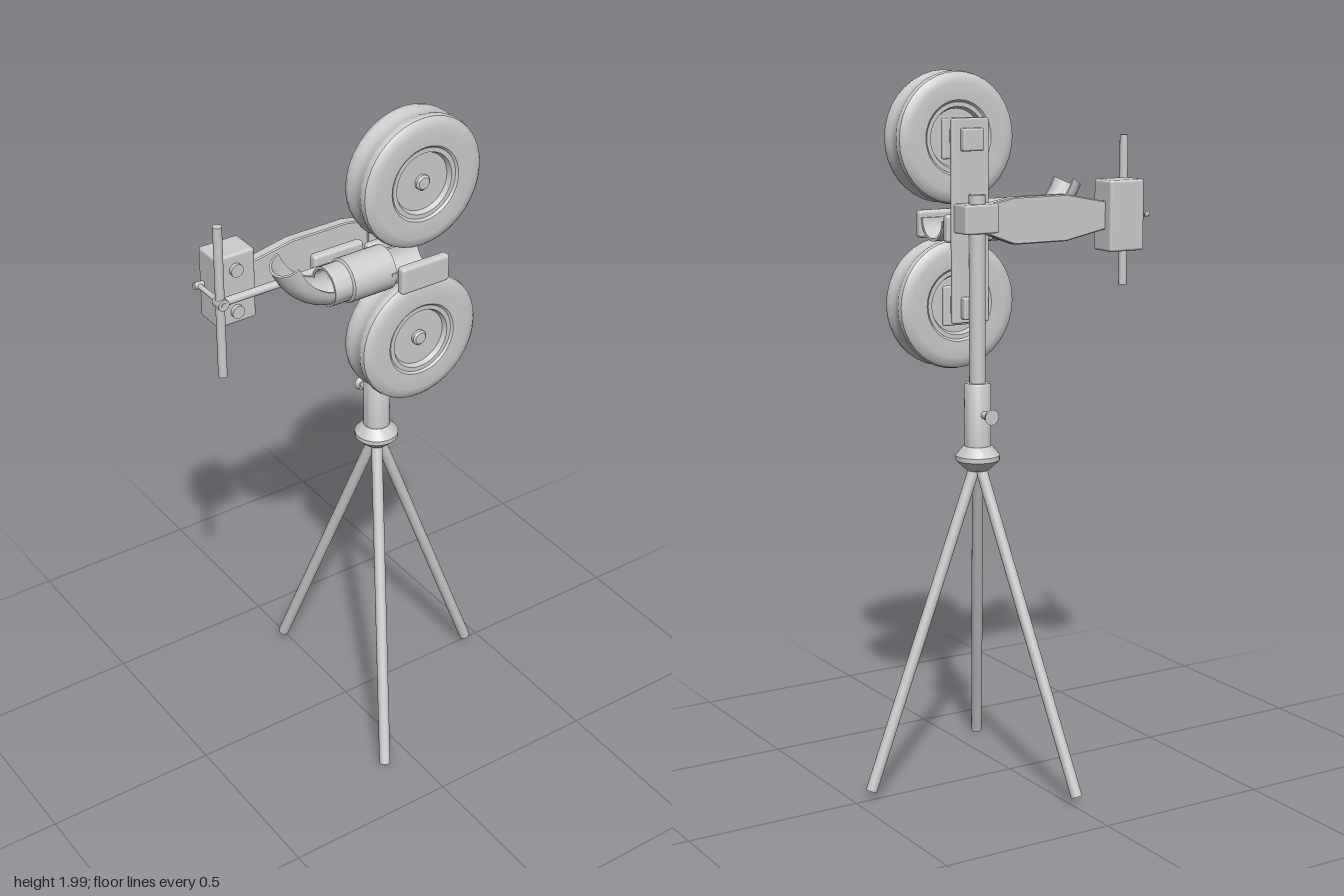
import * as THREE from 'three';
import { RoundedBoxGeometry } from 'three/addons/geometries/RoundedBoxGeometry.js';
import { toCreasedNormals } from 'three/addons/utils/BufferGeometryUtils.js';

const mat = new THREE.MeshStandardMaterial({ color: 0xcccccc });
const thin = new THREE.MeshStandardMaterial({ color: 0xcccccc, side: THREE.DoubleSide });
const V = (x, y, z) => new THREE.Vector3(x, y, z);
const PX = 0.098, PZ = 0.01; // post axis
const WX = 0.094, WZ = 0.166; // wheel centre
const TY = 1.582; // ball tube axis height

export function createModel() {
  const root = new THREE.Group();

  const add = (name, geo, x = 0, y = 0, z = 0, m = mat, parent = root) => {
    const mesh = new THREE.Mesh(geo, m);
    mesh.name = name;
    mesh.position.set(x, y, z);
    parent.add(mesh);
    return mesh;
  };
  // Rounded box given by its min and max corners
  const box = (name, a, b, r = 0.006) => {
    const s = b.map((v, i) => v - a[i]);
    return add(name, new RoundedBoxGeometry(...s, 2, r), ...a.map((v, i) => v + s[i] / 2));
  };
  // Cylinder between two points
  const rod = (name, a, b, r, r2 = r, seg = 20) => {
    const d = b.clone().sub(a);
    const mesh = add(name, new THREE.CylinderGeometry(r2, r, d.length(), seg));
    mesh.position.copy(a).addScaledVector(d, 0.5);
    mesh.quaternion.setFromUnitVectors(V(0, 1, 0), d.normalize());
    return mesh;
  };
  const lathe = (pts, seg = 32) =>
    toCreasedNormals(new THREE.LatheGeometry(pts.map(p => new THREE.Vector2(...p)), seg), 0.6);

  // Tripod legs
  const feet = [V(0.447, 0.03, 0.009), V(-0.013, 0.03, -0.33), V(-0.085, 0.013, 0.328)];
  for (const f of feet) rod('tripodLeg', f, V(PX, 0.94, PZ), 0.016);

  // Tripod hub, collar and post
  add('tripodHub', lathe([[0, 0.905], [0.03, 0.905], [0.045, 0.918], [0.062, 0.935], [0.062, 0.948],
    [0.045, 0.968], [0.038, 0.975], [0, 0.975]]), PX, 0, PZ);
  add('collar', lathe([[0, 0.96], [0.037, 0.96], [0.037, 1.145], [0.033, 1.152], [0, 1.152]]), PX, 0, PZ);
  rod('post', V(PX, 1.1, PZ), V(PX, 1.67, PZ), 0.023);
  rod('clampScrew', V(PX, 1.066, -0.02), V(PX, 1.066, -0.06), 0.011);
  rod('clampKnob', V(PX, 1.066, -0.054), V(PX, 1.066, -0.067), 0.016, 0.022);

  // Clamp block and the upright plate that carries both wheels
  box('clampBlock', [0.045, 1.565, -0.022], [0.152, 1.645, 0.046]);
  box('wheelPlate', [0.04, 1.315, 0.041], [0.157, 1.875, 0.055], 0.005);
  box('plateSpacer', [0.06, 1.53, 0.05], [0.14, 1.63, 0.078]);

  // Wheels: tyre with hollow tread, rim, disc and drive on the back
  const tyre = lathe([[0.096, -0.046], [0.104, -0.054], [0.15, -0.056], [0.17, -0.052], [0.18, -0.043],
    [0.183, -0.03], [0.177, -0.014], [0.175, 0], [0.177, 0.014], [0.183, 0.03], [0.18, 0.043],
    [0.17, 0.052], [0.15, 0.056], [0.104, 0.054], [0.096, 0.046]], 36);
  const rim = lathe([[0, -0.036], [0.08, -0.036], [0.086, -0.049], [0.098, -0.049], [0.098, 0.049],
    [0.086, 0.049], [0.08, 0.036], [0, 0.036]], 36);
  const hub = lathe([[0, -0.05], [0.021, -0.05], [0.021, 0.044], [0.016, 0.049], [0, 0.049]], 20);
  for (const [side, y] of [['upper', 1.817], ['lower', 1.357]]) {
    const wheel = new THREE.Group();
    wheel.name = side + 'Wheel';
    wheel.position.set(WX, y, WZ);
    wheel.rotation.x = Math.PI / 2;
    add('tyre', tyre, 0, 0, 0, mat, wheel);
    add('rim', rim, 0, 0, 0, mat, wheel);
    add('hub', hub, 0, 0, 0, mat, wheel);
    root.add(wheel);
    box(side + 'Drive', [0.065, y - 0.031, 0.022], [0.131, y + 0.031, 0.125]);
    box(side + 'DriveFlange', [0.042, y - 0.056, 0.098], [0.152, y + 0.056, 0.114]);
  }

  // Ball tube: stepped sleeve with a bore
  const sleeve = add('ballTube', lathe([[0.046, 0], [0.06, 0], [0.06, 0.128], [0.0535, 0.132],
    [0.0535, 0.185], [0.046, 0.185], [0.046, 0]]), 0.005, TY, WZ, thin);
  sleeve.rotation.z = Math.PI / 2;

  // Half-pipe swept along a path that lies in the plane z = WZ, open on top
  const halfPipe = (name, pts, rOut, rIn, n) => {
    const curve = new THREE.CatmullRomCurve3(pts);
    const arc = 16, ring = [];
    for (let i = 0; i <= arc; i++) ring.push([rOut, Math.PI * i / arc]);
    for (let i = arc; i >= 0; i--) ring.push([rIn, Math.PI * i / arc]);
    const k = ring.length, pos = [], idx = [];
    for (let j = 0; j <= n; j++) {
      const p = curve.getPoint(j / n), t = curve.getTangent(j / n);
      for (const [r, a] of ring) {
        const s = r * Math.sin(a);
        pos.push(p.x + t.y * s, p.y - t.x * s, p.z + r * Math.cos(a));
      }
    }
    for (let j = 0; j < n; j++) for (let i = 0; i < k; i++) {
      const a = j * k + i, b = j * k + (i + 1) % k;
      idx.push(a, b, a + k, b, b + k, a + k);
    }
    // End rims
    for (const o of [0, n * k]) for (let i = 0; i < arc; i++) {
      const a = o + i, b = o + k - 1 - i;
      idx.push(a, b, a + 1, a + 1, b, b - 1);
    }
    const g = new THREE.BufferGeometry();
    g.setAttribute('position', new THREE.Float32BufferAttribute(pos, 3));
    g.setIndex(idx);
    return add(name, toCreasedNormals(g, 0.6), 0, 0, 0, thin);
  };
  halfPipe('feedChute', [V(-0.287, 1.69, WZ), V(-0.265, 1.65, WZ), V(-0.228, 1.612, WZ),
    V(-0.185, 1.59, WZ), V(-0.14, TY, WZ)], 0.0525, 0.046, 12);
  halfPipe('ballTrough', [V(-0.01, 1.592, WZ), V(0.06, 1.592, WZ), V(0.15, 1.592, WZ)], 0.061, 0.053, 2);

  // Guide cheeks beside the trough and the tube
  box('frontCheek', [0.003, 1.534, 0.226], [0.155, 1.612, 0.254], 0.01);
  box('rearCheek', [0.003, 1.534, 0.073], [0.155, 1.612, 0.1], 0.01);
  box('tubeBracket', [-0.165, 1.545, 0.073], [-0.01, 1.632, 0.1], 0.01);

  // Tapered side arm
  const arm = new THREE.Shape([[-0.34, 1.56], [-0.19, 1.53], [-0.02, 1.53], [0.06, 1.56],
    [0.06, 1.64], [-0.02, 1.655], [-0.19, 1.655], [-0.34, 1.626]].map(p => new THREE.Vector2(...p)));
  add('sideArm', new THREE.ExtrudeGeometry(arm, { depth: 0.024, bevelSize: 0.003, bevelThickness: 0.003,
    bevelSegments: 1 }), 0, 0, 0.006);

  // Feeder motor box with two knobs
  box('motorBox', [-0.436, 1.49, -0.025], [-0.32, 1.692, 0.062], 0.008);
  for (const y of [1.527, 1.648]) rod('motorKnob', V(-0.379, y, 0.055), V(-0.379, y, 0.073), 0.018);

  // Crank shaft, upright rod and push rod
  rod('motorShaft', V(-0.43, 1.592, -0.006), V(-0.462, 1.592, -0.006), 0.009);
  rod('crank', V(-0.449, 1.592, -0.018), V(-0.449, 1.592, 0.12), 0.007);
  rod('uprightRod', V(-0.451, 1.377, 0.102), V(-0.451, 1.81, 0.102), 0.012);
  rod('pushRod', V(-0.45, 1.592, 0.102), V(-0.12, 1.592, 0.102), 0.011);
  rod('crankCollar', V(-0.449, 1.592, 0.086), V(-0.449, 1.592, 0.118), 0.016);

  return root;
}
